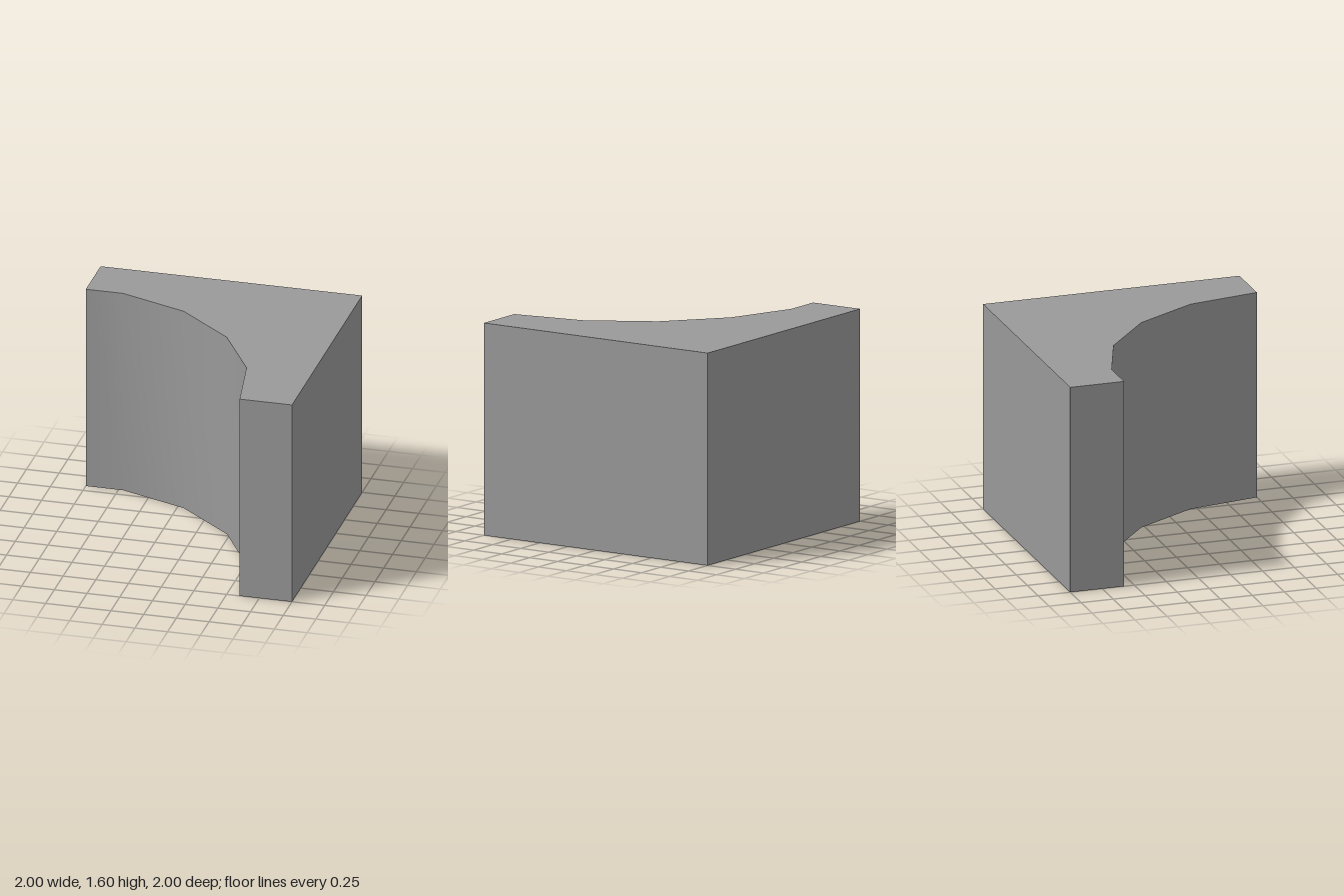
import * as THREE from 'three';
import { toCreasedNormals } from 'three/addons/utils/BufferGeometryUtils.js';

const HEIGHT = 1.6;

export function createModel() {
  const model = new THREE.Group();
  model.name = 'cornerBlock';

  const grey = new THREE.MeshStandardMaterial({ color: 0x999999 });
  grey.name = 'grey';

  // Plan outline as [x, z]: square outer corner, faceted concave inner curve
  const plan = [
    [-1, -1], [-1, -0.58], [-0.715, -0.58], [-0.2, -0.39],
    [0.225, -0.03], [0.505, 0.45], [0.6, 1], [1, 1], [1, -1],
  ];
  const outline = new THREE.Shape(plan.map(([x, z]) => new THREE.Vector2(x, -z)));

  // Extrude upwards; smooth the concave wall, keep the corners sharp
  const solid = new THREE.ExtrudeGeometry(outline, { depth: HEIGHT, bevelEnabled: false });
  solid.rotateX(-Math.PI / 2);
  const wall = new THREE.Mesh(toCreasedNormals(solid, THREE.MathUtils.degToRad(35)), grey);
  wall.name = 'curvedCornerWall';
  model.add(wall);

  return model;
}
